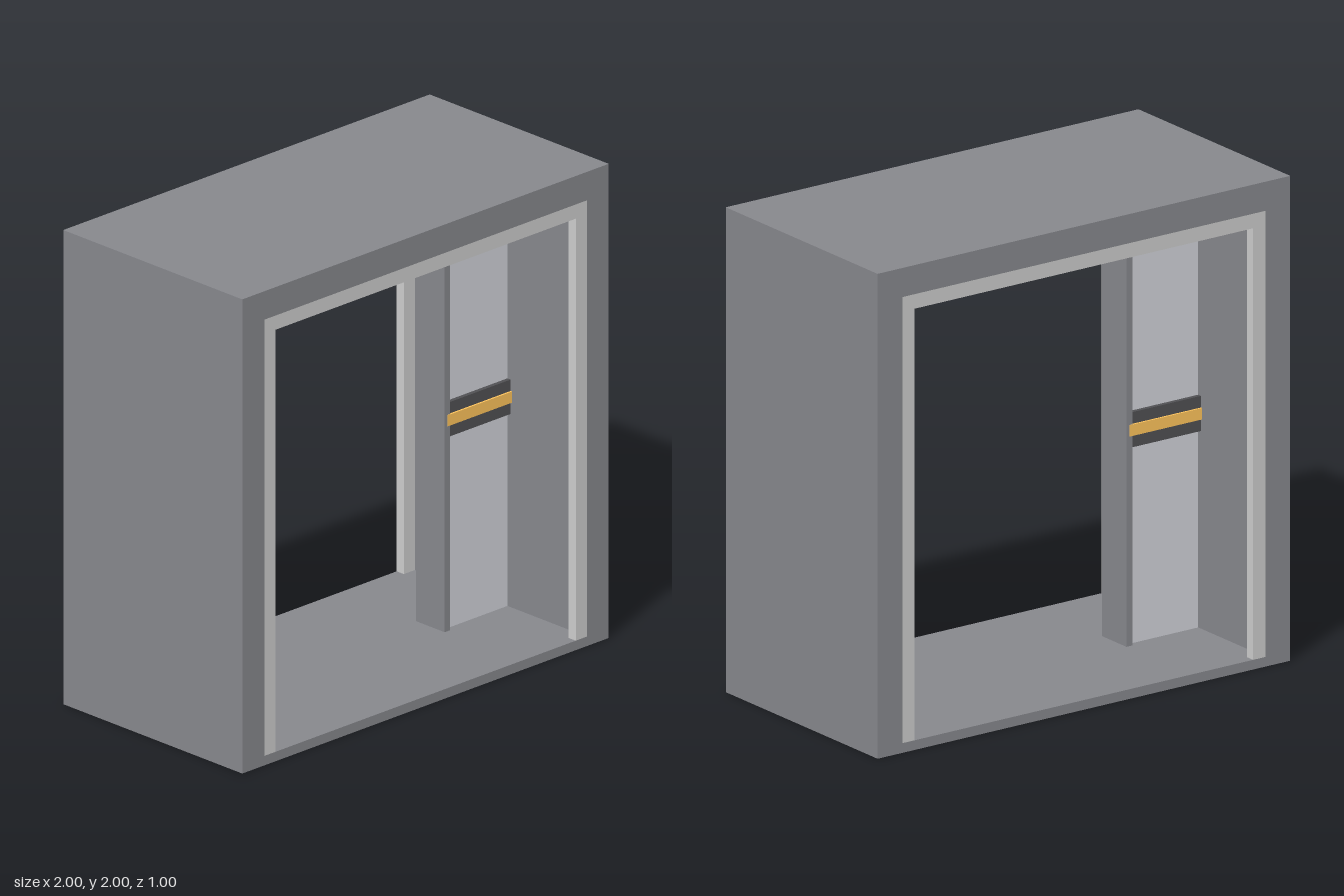
import * as THREE from 'three';

const paint = (color) => new THREE.MeshStandardMaterial({ color, flatShading: true });

// Box given by its min and max corners
function block(name, material, [x0, y0, z0], [x1, y1, z1]) {
  const mesh = new THREE.Mesh(new THREE.BoxGeometry(x1 - x0, y1 - y0, z1 - z0), material);
  mesh.position.set((x0 + x1) / 2, (y0 + y1) / 2, (z0 + z1) / 2);
  mesh.name = name;
  return mesh;
}

export function createModel() {
  const model = new THREE.Group();
  model.name = 'slidingDoorway';
  const frameGrey = paint(0x86878c);
  const trimGrey = paint(0xcccccc);
  const panelGrey = paint(0xd0d2d8);
  const bandGrey = paint(0x505053);
  const amber = paint(0xffc45c);

  const inner = 0.88, floor = 0.04, ceiling = 1.88;
  const lip = 0.82, lipDepth = 0.04;

  // Outer housing: a rectangular tunnel
  const outline = new THREE.Shape([
    new THREE.Vector2(-1, 0), new THREE.Vector2(1, 0),
    new THREE.Vector2(1, 2), new THREE.Vector2(-1, 2),
  ]);
  outline.holes.push(new THREE.Path([
    new THREE.Vector2(-inner, floor), new THREE.Vector2(-inner, ceiling),
    new THREE.Vector2(inner, ceiling), new THREE.Vector2(inner, floor),
  ]));
  const housing = new THREE.Mesh(
    new THREE.ExtrudeGeometry(outline, { depth: 1, bevelEnabled: false }).translate(0, 0, -0.5), frameGrey);
  housing.name = 'housing';
  model.add(housing);

  // Light trim, three-sided, set flush into each opening
  const lipShape = new THREE.Shape([
    [-inner, floor], [-lip, floor], [-lip, 1.82], [lip, 1.82],
    [lip, floor], [inner, floor], [inner, ceiling], [-inner, ceiling],
  ].map(([x, y]) => new THREE.Vector2(x, y)));
  for (const [name, z] of [['frontTrim', 0.5 - lipDepth], ['backTrim', -0.5]]) {
    const trim = new THREE.Mesh(
      new THREE.ExtrudeGeometry(lipShape, { depth: lipDepth, bevelEnabled: false }).translate(0, 0, z), trimGrey);
    trim.name = name;
    model.add(trim);
  }

  // Half-open door leaves, one on each side
  for (const [name, s] of [['rightDoor', -1], ['leftDoor', 1]]) {
    const door = new THREE.Group();
    door.name = name;
    const add = (part, mat, xa, xb, y0, y1, z) => door.add(block(part, mat,
      [Math.min(s * xa, s * xb), y0, -z], [Math.max(s * xa, s * xb), y1, z]));
    add('panel', panelGrey, 0.545, inner, floor, ceiling, 0.057);
    add('edgeSeal', frameGrey, 0.515, 0.545, floor, ceiling, 0.08);
    add('darkBand', bandGrey, 0.545, inner, 0.855, 1.0, 0.075);
    add('amberStripe', amber, 0.53, inner, 0.905, 0.952, 0.083);
    model.add(door);
  }
  return model;
}
